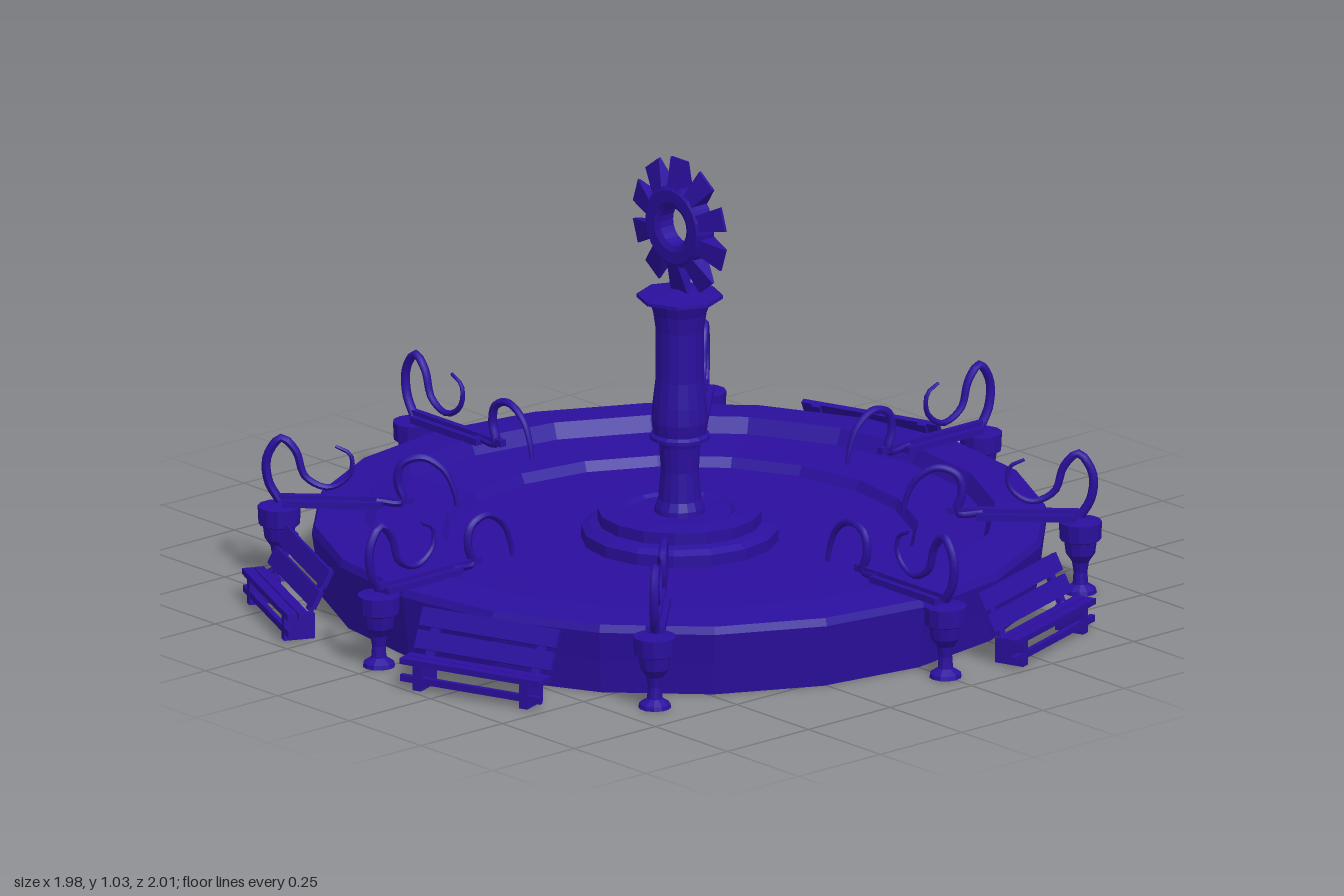
import * as THREE from 'three';

const paint = new THREE.MeshStandardMaterial({ color: 0x2b0f9e, flatShading: true, side: THREE.DoubleSide });
const smooth = new THREE.MeshStandardMaterial({ color: 0x2b0f9e, side: THREE.DoubleSide });

function add(parent, name, geometry, material = paint) {
  const mesh = new THREE.Mesh(geometry, material);
  mesh.name = name;
  parent.add(mesh);
  return mesh;
}

function group(parent, name, angle = 0) {
  const g = new THREE.Group();
  g.name = name;
  g.rotation.y = angle;
  parent.add(g);
  return g;
}

const lathe = (points, sides) =>
  new THREE.LatheGeometry(points.map(([r, y]) => new THREE.Vector2(r, y)), sides);

const box = (w, h, d, x, y, z) => new THREE.BoxGeometry(w, h, d).translate(x, y, z);

// Round tube through [radius, height] points, thinning toward its end
function curl(points, radius, endScale) {
  const path = new THREE.CatmullRomCurve3(points.map(([r, y]) => new THREE.Vector3(0, y, r)));
  const steps = 32, sides = 7;
  const geo = new THREE.TubeGeometry(path, steps, radius, sides);
  const pos = geo.attributes.position;
  const v = new THREE.Vector3();
  for (let i = 0; i < pos.count; i++) {
    const t = Math.floor(i / (sides + 1)) / steps;
    const c = path.getPointAt(t);
    v.fromBufferAttribute(pos, i).sub(c).multiplyScalar(1 + (endScale - 1) * t * t).add(c);
    pos.setXYZ(i, v.x, v.y, v.z);
  }
  geo.computeVertexNormals();
  return geo;
}

// Gear-like ornament on top of the column
function ornament(parent) {
  const gear = group(parent, 'ornament');
  gear.position.y = 0.87;
  const ring = lathe([[0.046, -0.02], [0.06, -0.027], [0.088, -0.027], [0.097, -0.02],
    [0.097, 0.02], [0.088, 0.027], [0.06, 0.027], [0.046, 0.02], [0.046, -0.02]], 20);
  add(gear, 'ornamentRing', ring.rotateX(Math.PI / 2));
  for (let i = 0; i < 10; i++) {
    // Each tooth widens outward and thins to an edge
    const tooth = new THREE.BoxGeometry(0.036, 0.075, 0.05);
    const pos = tooth.attributes.position;
    for (let k = 0; k < pos.count; k++) {
      if (pos.getY(k) > 0) pos.setXYZ(k, pos.getX(k) * 1.6, pos.getY(k), pos.getZ(k) * 0.12);
    }
    tooth.translate(0, 0.122, 0).rotateZ(i * Math.PI / 5);
    tooth.computeVertexNormals();
    add(gear, 'ornamentTooth', tooth);
  }
}

// Post outside the basin, carrying a bracket with two curls
function spout(parent, angle) {
  const g = group(parent, 'spout', angle);
  const post = lathe([[0, 0], [0.038, 0], [0.036, 0.01], [0.018, 0.022], [0.016, 0.05],
    [0.02, 0.075], [0.034, 0.095], [0.038, 0.125], [0.048, 0.13], [0.05, 0.172], [0, 0.175]], 12);
  add(g, 'post', post.translate(0, 0, 0.925));
  add(g, 'bracket', box(0.045, 0.016, 0.23, 0, 0.182, 0.8));
  add(g, 'bar', box(0.016, 0.016, 0.31, 0, 0.192, 0.77));
  add(g, 'outerCurl', curl([[0.925, 0.185], [0.95, 0.23], [0.953, 0.29], [0.92, 0.336],
    [0.887, 0.305], [0.865, 0.243], [0.81, 0.218], [0.762, 0.25], [0.76, 0.298],
    [0.795, 0.318]], 0.011, 0.35), smooth);
  add(g, 'innerCurl', curl([[0.7, 0.19], [0.64, 0.188], [0.652, 0.235], [0.642, 0.278],
    [0.595, 0.295], [0.545, 0.265], [0.52, 0.21], [0.515, 0.18]], 0.011, 0.5), smooth);
}

// Slatted bench with a leaning back, facing outward
function bench(parent, angle) {
  const holder = group(parent, 'bench', angle);
  const g = group(holder, 'benchBody');
  g.position.z = 0.943;
  for (const z of [0.014, 0.042]) add(g, 'seatSlat', box(0.37, 0.014, 0.025, 0, 0.066, z));
  for (const [y, z] of [[0.1, -0.02], [0.148, -0.044]]) {
    const slat = add(g, 'backSlat', box(0.36, 0.044, 0.012, 0, 0, 0));
    slat.position.set(0, y, z);
    slat.rotation.x = -0.46;
  }
  add(g, 'frontRail', box(0.37, 0.016, 0.012, 0, 0.025, 0.046));
  for (const x of [-0.14, 0.14]) {
    add(g, 'legPanel', box(0.022, 0.06, 0.075, x, 0.03, 0.015));
    const brace = add(g, 'backBrace', box(0.022, 0.11, 0.012, 0, 0, 0));
    brace.position.set(x, 0.115, -0.036);
    brace.rotation.x = -0.46;
  }
}

export function createModel() {
  const model = new THREE.Group();
  model.name = 'fountain';
  const body = group(model, 'fountainBody');
  body.position.x = -0.015;

  // Basin with a rim, an inner ledge and a floor, hollow beneath
  add(body, 'basin', lathe([[0, 0.095], [0.7, 0.095], [0.8, 0], [0.832, 0], [0.842, 0.08],
    [0.852, 0.15], [0.845, 0.168], [0.73, 0.176], [0.712, 0.14], [0.552, 0.135],
    [0.54, 0.112], [0, 0.112]], 20));

  // Stepped pedestal and column
  add(body, 'pedestal', lathe([[0.228, 0.11], [0.228, 0.14], [0.21, 0.15], [0.19, 0.155],
    [0.19, 0.183], [0.13, 0.185], [0.12, 0.178], [0, 0.178]], 16));
  add(body, 'column', lathe([[0.06, 0.17], [0.058, 0.19], [0.05, 0.21], [0.044, 0.28],
    [0.048, 0.34], [0.052, 0.355], [0.07, 0.356], [0.07, 0.364], [0.062, 0.37], [0.066, 0.4],
    [0.063, 0.44], [0.056, 0.5], [0.056, 0.62], [0.062, 0.66], [0.074, 0.692]], 16));
  add(body, 'columnCap', lathe([[0, 0.692], [0.1, 0.694], [0.1, 0.702], [0.045, 0.706], [0, 0.715]], 8));
  ornament(body);

  for (let i = 0; i < 8; i++) spout(body, i * Math.PI / 4);

  // Benches around the basin
  for (const degrees of [19.5, 109, 199, -25]) bench(body, degrees * Math.PI / 180);
  return model;
}
